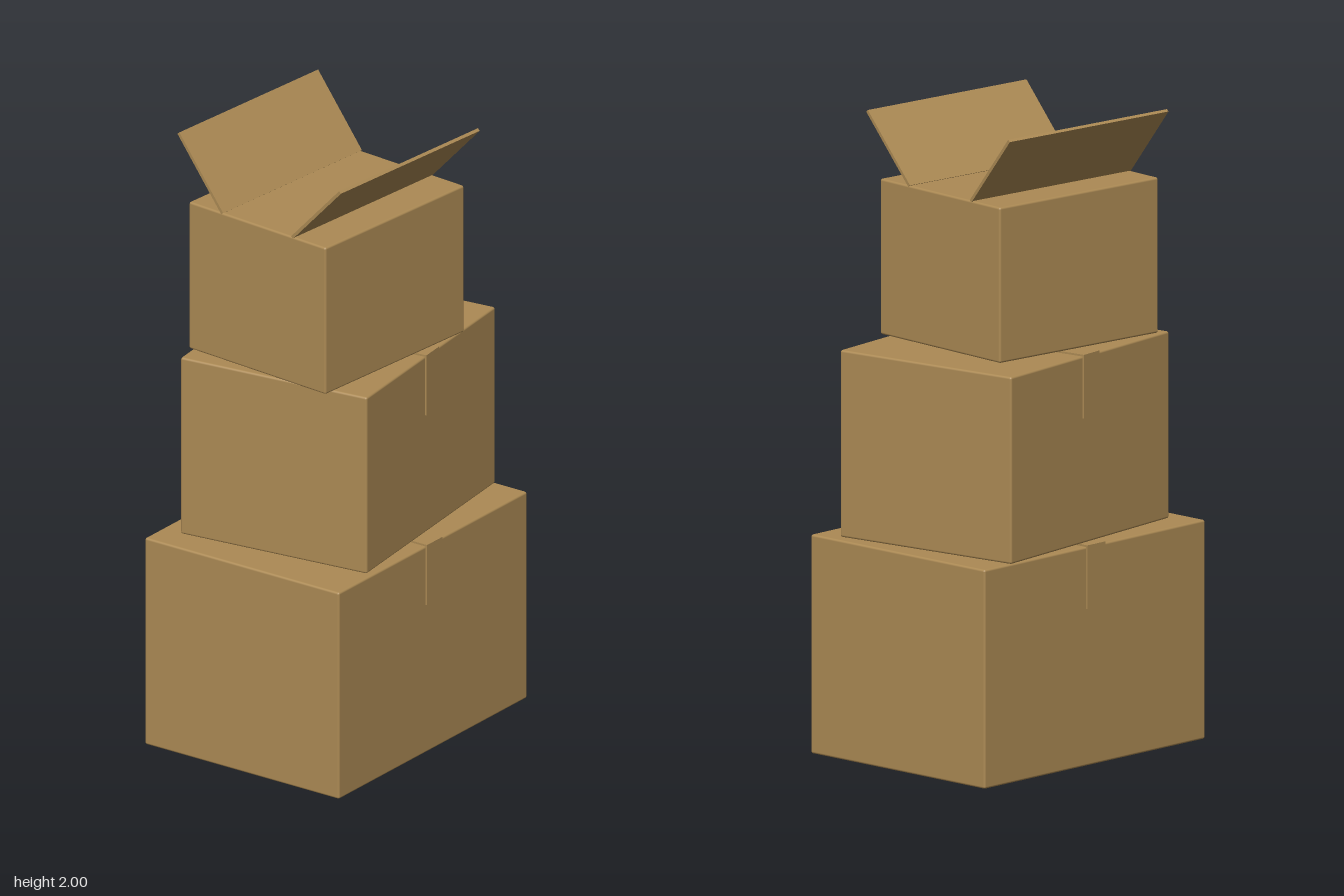
import * as THREE from 'three';
import { RoundedBoxGeometry } from 'three/addons/geometries/RoundedBoxGeometry.js';

const cardboard = new THREE.MeshStandardMaterial({ color: 0xac8a54 });
cardboard.name = 'cardboard';

function addBox(parent, name, w, h, d, x, y, z) {
  const mesh = new THREE.Mesh(new THREE.BoxGeometry(w, h, d), cardboard);
  mesh.name = name;
  mesh.position.set(x, y, z);
  parent.add(mesh);
  return mesh;
}

// A carton with softened edges, its origin at the middle of its base
function makeCarton(name, w, h, d, position, turn) {
  const carton = new THREE.Group();
  carton.name = name;
  carton.position.set(...position);
  carton.rotation.y = turn;
  const body = new THREE.Mesh(new RoundedBoxGeometry(w, h, d, 2, 0.007), cardboard);
  body.name = name + 'Body';
  body.position.y = h / 2;
  carton.add(body);
  return carton;
}

// A strip over the lid that folds down the front and the back
function addTape(carton, h, d) {
  const t = 0.006, width = 0.08, drop = 0.195;
  addBox(carton, 'tapeTop', width, t, d + 2 * t, 0, h + t / 2, 0);
  for (const side of [1, -1]) {
    addBox(carton, side > 0 ? 'tapeFront' : 'tapeBack', width, drop, t, 0, h - drop / 2, side * (d + t) / 2);
  }
}

// A raised lid flap, hinged along x and leaning outward
function addFlap(carton, name, w, h, side, angle) {
  const length = 0.283;
  const hinge = new THREE.Group();
  hinge.name = name;
  hinge.position.set(0, h - 0.002, side * 0.142);
  hinge.rotation.x = -side * angle;
  addBox(hinge, name + 'Panel', w, 0.01, length, 0, 0, side * length / 2);
  carton.add(hinge);
}

export function createModel() {
  const model = new THREE.Group();
  model.name = 'cartonStack';

  // Large carton at the bottom
  const large = makeCarton('largeCarton', 0.985, 0.69, 0.738, [-0.001, 0, 0.006], 0);
  addTape(large, 0.69, 0.738);

  // Medium carton, turned one way
  const medium = makeCarton('mediumCarton', 0.817, 0.589, 0.655, [0.031, 0.696, -0.01], 0.123);
  addTape(medium, 0.589, 0.655);

  // Small carton on top, turned the other way, with two open flaps
  const small = makeCarton('smallCarton', 0.652, 0.49, 0.556, [-0.052, 1.291, 0.007], -0.085);
  addFlap(small, 'frontFlap', 0.652, 0.49, 1, 0.81);
  addFlap(small, 'backFlap', 0.652, 0.49, -1, 0.89);

  model.add(large, medium, small);
  return model;
}
